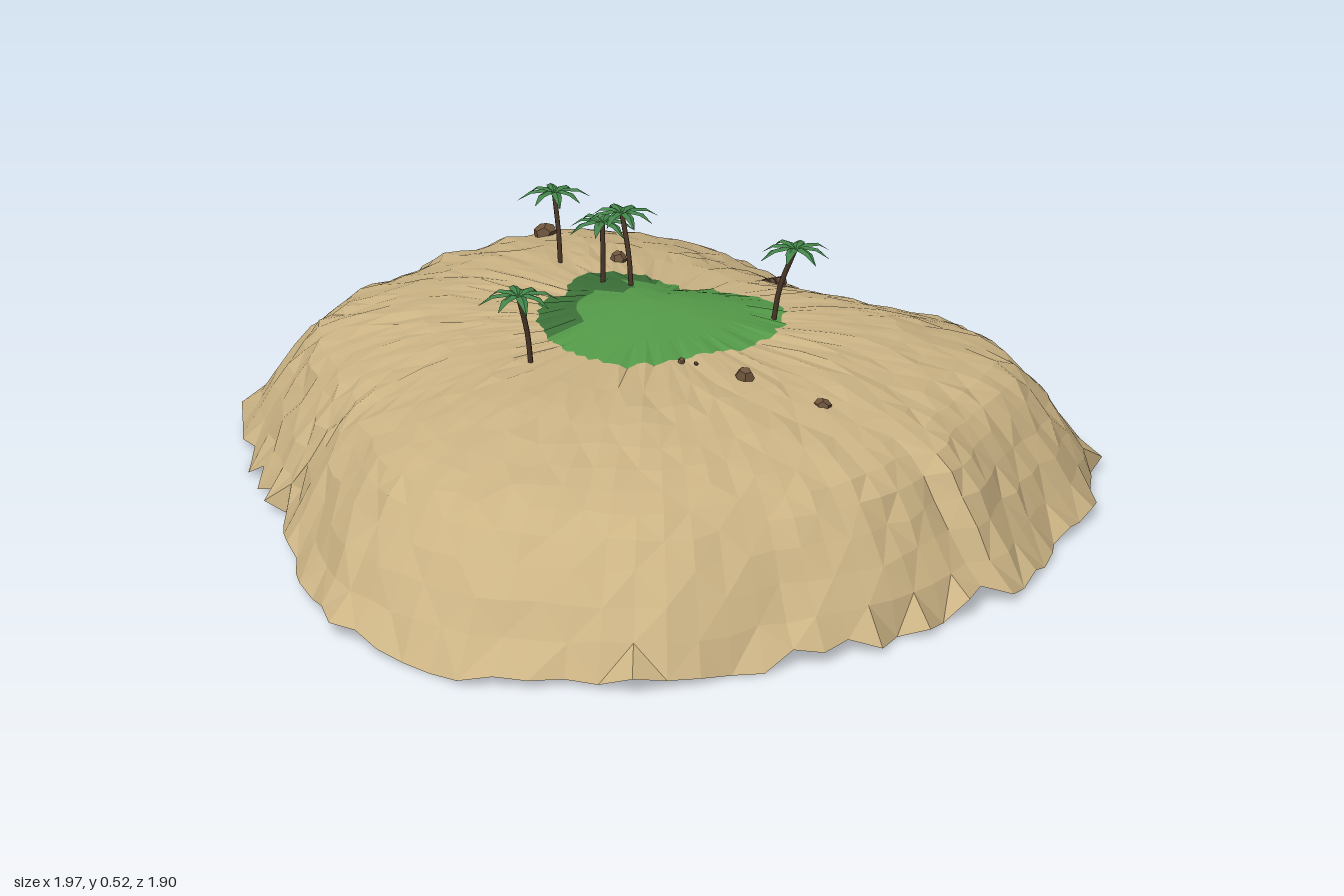
import * as THREE from 'three';
import { mergeGeometries } from 'three/addons/utils/BufferGeometryUtils.js';

const material = (name, color, side = THREE.FrontSide) =>
  Object.assign(new THREE.MeshStandardMaterial({ color, side }), { name });

// Seeded random in -1..1
let seed = 7;
const rnd = () => {
  seed = (seed * 16807) % 2147483647;
  return (seed / 2147483647) * 2 - 1;
};

const CENTRE = [0.02, -0.1];
const SHORE = [
  [0.95, -0.14], [0.98, -0.11], [0.985, -0.01], [0.95, 0.03], [0.95, 0.12], [0.92, 0.32], [0.82, 0.5],
  [0.75, 0.68], [0.55, 0.82], [0.4, 0.91], [0.2, 0.93], [0.03, 0.89], [-0.13, 0.79], [-0.35, 0.62],
  [-0.6, 0.47], [-0.8, 0.32], [-0.92, 0.1], [-0.93, -0.15], [-0.95, -0.25], [-0.985, -0.28], [-0.985, -0.35],
  [-0.94, -0.38], [-0.94, -0.55], [-0.88, -0.75], [-0.72, -0.87], [-0.55, -0.93], [-0.2, -0.94], [-0.02, -0.89],
  [0.2, -0.89], [0.45, -0.9], [0.6, -0.82], [0.78, -0.68], [0.88, -0.52], [0.91, -0.3]];
const MEADOW = [
  [0.25, 0.03], [0.18, 0.16], [0, 0.16], [-0.1, 0.1], [-0.2, 0], [-0.22, -0.1], [-0.27, -0.24],
  [-0.18, -0.29], [-0.04, -0.28], [0.2, -0.33], [0.27, -0.23]];

// Outline radius around the centre as a function of angle
function polar(points) {
  const list = points.map(([x, z]) => [Math.atan2(z - CENTRE[1], x - CENTRE[0]), Math.hypot(x - CENTRE[0], z - CENTRE[1])])
    .sort((a, b) => a[0] - b[0]);
  const first = list[0], last = list[list.length - 1];
  list.unshift([last[0] - 2 * Math.PI, last[1]]);
  list.push([first[0] + 2 * Math.PI, first[1]]);
  return angle => {
    const i = list.findIndex(p => p[0] > angle);
    const [a, b] = [list[i - 1], list[i]];
    return THREE.MathUtils.lerp(a[1], b[1], (angle - a[0]) / (b[0] - a[0]));
  };
}

// [fraction of shore radius, height]; the first ring follows the meadow edge
const RINGS = [[0.3, 0.332], [0.4, 0.33], [0.48, 0.326], [0.55, 0.318], [0.62, 0.304], [0.69, 0.288],
  [0.75, 0.272], [0.8, 0.25], [0.84, 0.218], [0.88, 0.175], [0.92, 0.125], [0.96, 0.07], [1, 0.02]];
const HILL = [[0, 0.372], [0.3, 0.366], [0.65, 0.35]];

// Open terrain shell, sorted into sand, grass and dark grass triangles
function terrain(sand, grass, darkGrass) {
  const N = 108, shore = polar(SHORE), meadow = polar(MEADOW);
  const rings = [...HILL, ...RINGS].map(([t, h], k) => {
    const row = [];
    for (let i = 0; i < N; i++) {
      const a = -Math.PI + (i + 0.5) / N * 2 * Math.PI;
      const rim = k === HILL.length + RINGS.length - 1;
      const r = k < HILL.length ? t * meadow(a) : k === HILL.length ? meadow(a) : t * shore(a);
      const push = k < HILL.length ? 0 : rim ? rnd() * 0.022 : rnd() * 0.009;
      const x = CENTRE[0] + Math.cos(a) * (r + push), z = CENTRE[1] + Math.sin(a) * (r + push);
      // Gentle hollow at the back beach
      const dip = rim ? 0 : 0.05 * Math.exp(-(((x - 0.05) / 0.4) ** 2) - ((z + 0.72) / 0.2) ** 2);
      const y = rim ? 0.02 + rnd() * 0.02 : h - dip + (k < HILL.length ? 0 : rnd() * 0.004);
      row.push([x, y, z]);
    }
    return row;
  });
  const faces = { sand: [], grass: [], dark: [] };
  for (let k = 0; k + 1 < rings.length; k++) {
    for (let i = 0; i < N; i++) {
      const j = (i + 1) % N;
      const a = rings[k][i], b = rings[k][j], c = rings[k + 1][i], d = rings[k + 1][j];
      const x = (a[0] + d[0]) / 2, z = (a[2] + d[2]) / 2;
      const dark = x < -0.1 + 0.6 * Math.max(0, z);
      const out = k >= HILL.length ? faces.sand : dark ? faces.dark : faces.grass;
      if ((i + k) % 2) out.push(...a, ...d, ...c, ...a, ...b, ...d);
      else out.push(...a, ...b, ...c, ...b, ...d, ...c);
    }
  }
  const build = (name, data, mat) => {
    const g = new THREE.BufferGeometry();
    g.setAttribute('position', new THREE.Float32BufferAttribute(data, 3));
    g.computeVertexNormals();
    const mesh = new THREE.Mesh(g, mat);
    mesh.name = name;
    return mesh;
  };
  return [build('sandIsland', faces.sand, sand), build('grassHill', faces.grass, grass),
    build('darkGrassSlope', faces.dark, darkGrass)];
}

// One arching, folded leaf pointing along +x
function frondGeometry(length) {
  const stations = [[0, 0, 0.003], [0.3, 0.009, 0.011], [0.65, 0.006, 0.009], [1, -0.014, 0.0005]];
  const pos = [], idx = [];
  stations.forEach(([t, y, w], i) => {
    pos.push(t * length, y - w * 0.4, -w, t * length, y, 0, t * length, y - w * 0.4, w);
    if (i) for (const s of [0, 1]) {
      const p = (i - 1) * 3 + s, q = i * 3 + s;
      idx.push(p, p + 1, q, p + 1, q + 1, q);
    }
  });
  const g = new THREE.BufferGeometry();
  g.setAttribute('position', new THREE.Float32BufferAttribute(pos, 3));
  g.setIndex(idx);
  const flat = g.toNonIndexed();
  flat.computeVertexNormals();
  return flat;
}

function palm(base, crown, turn, bark, leaf) {
  const group = new THREE.Group();
  group.name = 'palmTree';
  const [b, c] = [new THREE.Vector3(...base), new THREE.Vector3(...crown)];
  const mid = b.clone().lerp(c, 0.5);
  mid.x = THREE.MathUtils.lerp(b.x, c.x, 0.3);
  mid.z = THREE.MathUtils.lerp(b.z, c.z, 0.3);
  const trunk = new THREE.Mesh(
    new THREE.TubeGeometry(new THREE.CatmullRomCurve3([b, mid, c]), 6, 0.0055, 6), bark);
  trunk.name = 'palmTrunk';
  const fronds = [];
  for (let i = 0; i < 8; i++) {
    fronds.push(frondGeometry(i % 2 ? 0.083 : 0.072).rotateY(turn + i * Math.PI / 4));
  }
  const leaves = new THREE.Mesh(mergeGeometries(fronds), leaf);
  leaves.name = 'palmFronds';
  leaves.position.copy(c);
  group.add(trunk, leaves);
  return group;
}

export function createModel() {
  seed = 7;
  const sand = material('sand', 0xcbb384, THREE.DoubleSide);
  const grass = material('grass', 0x549a49, THREE.DoubleSide);
  const darkGrass = material('darkGrass', 0x3c7038, THREE.DoubleSide);
  const leaf = material('palmLeaf', 0x43854a, THREE.DoubleSide);
  const bark = material('bark', 0x4a3728);
  const stone = material('brownStone', 0x6e543c);

  const model = new THREE.Group();
  model.name = 'island';
  model.add(...terrain(sand, grass, darkGrass));

  // Palms: base, crown, frond rotation
  [[[-0.37, 0.315, -0.255], [-0.41, 0.48, -0.28], 0.1],
    [[-0.17, 0.33, -0.17], [-0.18, 0.48, -0.18], 0.5],
    [[-0.085, 0.345, -0.165], [-0.125, 0.512, -0.18], 0.25],
    [[0.01, 0.31, 0.26], [0.005, 0.475, 0.29], 0.15],
    [[0.23, 0.32, -0.255], [0.265, 0.488, -0.28], 0.4],
  ].forEach(([b, c, turn]) => model.add(palm(b, c, turn, bark, leaf)));

  // Rocks and pebbles: x, y, z, radius
  [[-0.62, 0.295, -0.48, 0.029], [-0.28, 0.333, -0.35, 0.02], [0.4, 0.335, 0.06, 0.021],
    [0.57, 0.307, 0.03, 0.019], [0.25, 0.336, 0.075, 0.008], [0.28, 0.335, 0.065, 0.005],
  ].forEach(([x, y, z, r], i) => {
    const rock = new THREE.Mesh(new THREE.DodecahedronGeometry(r), stone);
    rock.name = 'rock';
    rock.position.set(x, y, z);
    rock.rotation.set(i, i * 1.7, 0.3);
    rock.scale.y = 0.8;
    model.add(rock);
  });

  // Driftwood log with bark bands, lying on the back beach
  const driftwood = new THREE.Group();
  driftwood.name = 'driftwood';
  const log = new THREE.Mesh(new THREE.CylinderGeometry(0.011, 0.012, 0.075, 8).rotateX(Math.PI / 2), stone);
  log.name = 'log';
  driftwood.add(log);
  for (const z of [-0.024, 0, 0.024]) {
    const band = new THREE.Mesh(new THREE.CylinderGeometry(0.0135, 0.0135, 0.008, 8).rotateX(Math.PI / 2), bark);
    band.name = 'logBand';
    band.position.z = z;
    driftwood.add(band);
  }
  driftwood.position.set(0.02, 0.295, -0.53);
  driftwood.rotation.x = -0.15;
  model.add(driftwood);

  return model;
}
